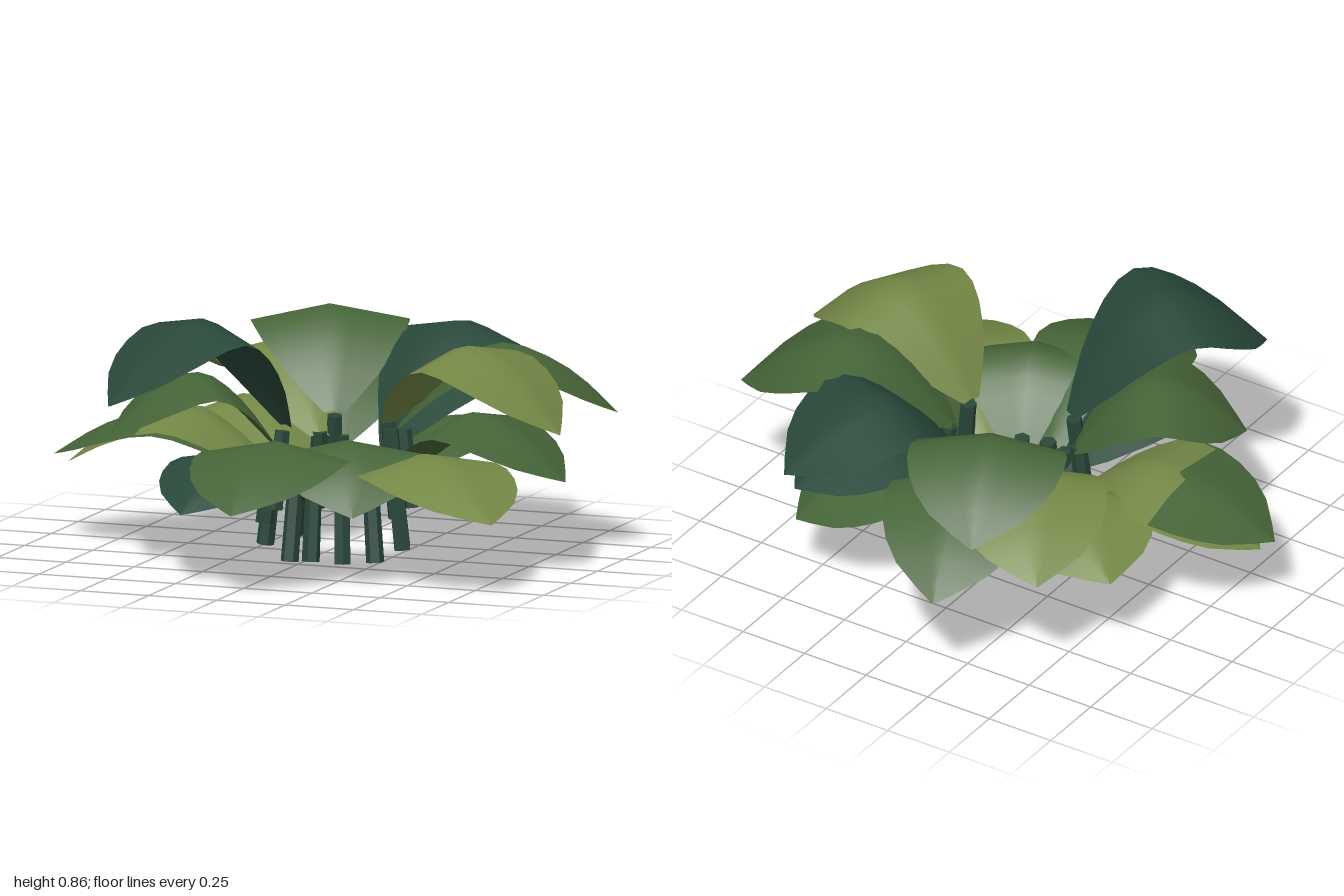
import * as THREE from 'three';

const material = (color) => new THREE.MeshStandardMaterial({ color, side: THREE.DoubleSide });
const curve = (points) => new THREE.SplineCurve(points.map(([x, y]) => new THREE.Vector2(x, y)));

// Half-width of a leaf along its length: narrow base, wide middle, pointed tip
const outline = curve([[0, 0.035], [0.2, 0.17], [0.4, 0.255], [0.6, 0.268], [0.8, 0.19], [1, 0]]);

// Arched blade running along +z, shallowly folded along the midrib
function leafGeometry(length, base, peak, tip) {
  const arch = curve([
    [0, base],
    [0.22 * length, peak - 0.36 * (peak - base)],
    [0.47 * length, peak],
    [0.76 * length, peak - 0.35 * (peak - tip)],
    [length, tip],
  ]);
  const geometry = new THREE.PlaneGeometry(1, 1, 8, 12);
  const pos = geometry.attributes.position;
  for (let i = 0; i < pos.count; i++) {
    const t = pos.getY(i) + 0.5;
    const across = -2 * pos.getX(i) * outline.getPoint(t).y;
    const p = arch.getPoint(t);
    pos.setXYZ(i, across, p.y - 0.2 * Math.abs(across), p.x);
  }
  geometry.computeVertexNormals();
  return geometry;
}

export function createModel() {
  const model = new THREE.Group();
  const green = material(0x466438);
  const olive = material(0x748846);
  const teal = material(0x29483a);
  const stemMaterial = material(0x29483a);
  stemMaterial.flatShading = true;

  // Leaves: tip x, tip z, tip height, peak height, base height, material
  const leaves = [
    // upper tier
    [-0.33, -0.85, 0.55, 0.77, 0.46, green],
    [0.47, -0.79, 0.54, 0.75, 0.45, teal],
    [0.95, -0.32, 0.5, 0.74, 0.45, green],
    [0.95, 0.22, 0.51, 0.78, 0.48, olive],
    [-0.5, 0.74, 0.6, 0.87, 0.47, teal],
    // middle tier
    [-0.27, -1.0, 0.39, 0.62, 0.36, green],
    [-0.57, -0.81, 0.46, 0.65, 0.38, olive],
    [-0.62, 0.43, 0.44, 0.65, 0.38, green],
    [0.93, 0.12, 0.33, 0.54, 0.26, green],
    [0.46, -0.74, 0.46, 0.62, 0.35, teal],
    // lower tier
    [0.86, 0.63, 0.26, 0.44, 0.22, olive],
    [0.37, 0.68, 0.26, 0.48, 0.22, green],
    [0.05, 1.0, 0.3, 0.49, 0.23, green],
    [-0.22, 0.78, 0.25, 0.43, 0.22, teal],
    [-0.96, 0.08, 0.3, 0.48, 0.24, green],
    [-0.92, 0.05, 0.27, 0.49, 0.25, olive],
    [-0.66, -0.49, 0.33, 0.48, 0.25, olive],
    [0.52, -0.64, 0.26, 0.44, 0.22, green],
  ];
  const centre = { x: 0.04, z: -0.02 };
  const ringRadius = 0.21;
  const stemGeometry = new THREE.CylinderGeometry(0.028, 0.031, 0.27, 6);

  for (const [x, z, tip, peak, base, color] of leaves) {
    const dx = x - centre.x, dz = z - centre.z;
    const sprig = new THREE.Group();
    sprig.name = 'leafWithStem';
    sprig.position.set(centre.x, 0, centre.z);
    sprig.rotation.y = Math.atan2(dx, dz);

    const leaf = new THREE.Mesh(
      leafGeometry(Math.hypot(dx, dz) - ringRadius, base, peak, tip), color);
    leaf.name = 'leaf';
    leaf.position.z = ringRadius;

    // Short stem, its foot leaning outward
    const stem = new THREE.Mesh(stemGeometry, stemMaterial);
    stem.name = 'stem';
    stem.position.set(0, 0.68 * base - 0.005, ringRadius + 0.03);
    stem.rotation.x = -0.12;
    sprig.add(leaf, stem);
    model.add(sprig);
  }
  return model;
}
